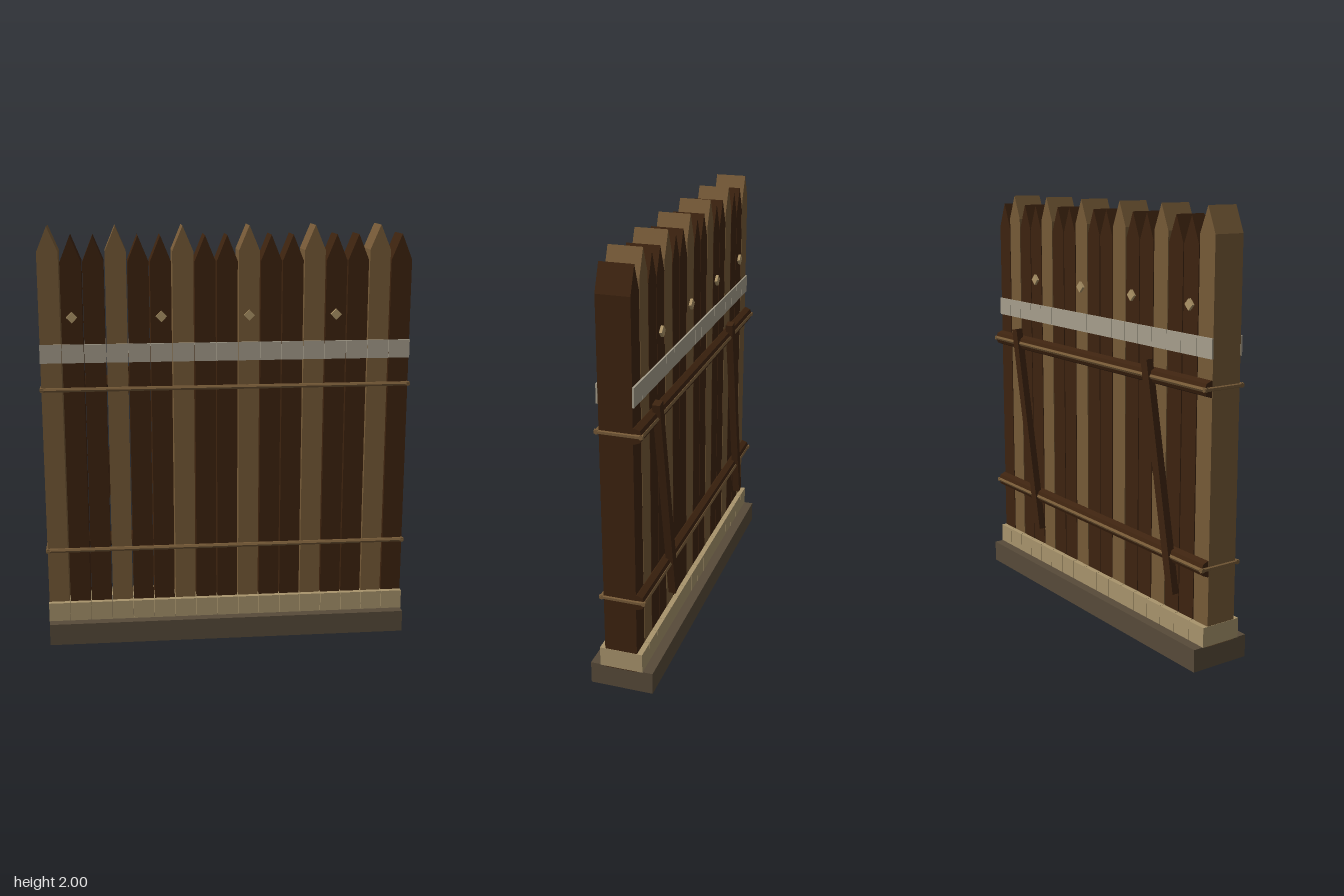
import * as THREE from 'three';

const mat = (name, color) => {
  const m = new THREE.MeshStandardMaterial({ color });
  m.name = name;
  return m;
};

export function createModel() {
  const fence = new THREE.Group();
  fence.name = 'palisade';
  const darkWood = mat('darkWood', 0x3d230f);
  const lightWood = mat('lightWood', 0x765a37);
  const stone = mat('paleStone', 0xa8946c);
  const earth = mat('earth', 0x574a39);
  const chalk = mat('chalkBand', 0xa69e8c);
  const studTan = mat('studTan', 0xae9568);

  const add = (name, geometry, material, x = 0, y = 0, z = 0) => {
    const mesh = new THREE.Mesh(geometry, material);
    mesh.name = name;
    mesh.position.set(x, y, z);
    fence.add(mesh);
    return mesh;
  };
  const box = (w, h, d) => new THREE.BoxGeometry(w, h, d);
  // faceted bar along x or z
  const bar = (r, length, sides, axis) => {
    const g = new THREE.CylinderGeometry(r, r, length, sides).toNonIndexed();
    if (axis === 'x') g.rotateZ(Math.PI / 2);
    else g.rotateX(Math.PI / 2);
    g.computeVertexNormals();
    return g;
  };

  // pointed plank, extruded through its depth
  const plank = (tip, shoulder) => {
    const w = 0.0485;
    const s = new THREE.Shape([
      [-w, 0.1], [w, 0.1], [w, shoulder], [0, tip], [-w, shoulder],
    ].map(([x, y]) => new THREE.Vector2(x, y)));
    return new THREE.ExtrudeGeometry(s, { depth: 0.15, bevelEnabled: false }).translate(0, 0, -0.075);
  };
  const tallPlank = plank(2, 1.885);
  const shortPlank = plank(1.957, 1.838);

  // base
  add('footing', box(1.74, 0.105, 0.294), earth, 0, 0.0525, 0);

  // planks with their base stones and painted band
  const stoneGeo = box(0.1005, 0.092, 0.2);
  const bandGeo = box(0.1005, 0.087, 0.008);
  for (let i = 0; i < 17; i++) {
    const x = (i - 8) * 0.1028;
    const tall = i % 3 === 0;
    add('plank', tall ? tallPlank : shortPlank, tall ? lightWood : darkWood, x);
    add('baseStone', stoneGeo, stone, x, 0.15, 0);
    for (const side of [-1, 1]) add('paintedBand', bandGeo, chalk, x, 1.418, side * 0.079);
  }

  // diamond studs on both faces
  const studGeo = bar(0.026, 0.014, 4, 'z');
  for (const x of [-0.72, -0.308, 0.103, 0.514]) {
    for (const side of [-1, 1]) add('stud', studGeo, studTan, x, 1.587, side * 0.081);
  }

  // back rails, each with a rope looped round the whole wall
  for (const y of [0.461, 1.249]) {
    add('backRail', bar(0.037, 1.74, 8, 'x'), darkWood, 0, y, -0.079);
    add('ropeFront', bar(0.011, 1.754, 6, 'x'), lightWood, 0, y, 0.085);
    add('ropeBack', bar(0.011, 1.754, 6, 'x'), lightWood, 0, y, -0.109);
    for (const side of [-1, 1]) add('ropeEnd', bar(0.011, 0.214, 6, 'z'), lightWood, side * 0.868, y, -0.012);
  }

  // leaning braces on the back
  for (const x of [-0.563, 0.557]) {
    add('brace', box(0.045, 1.05, 0.035), darkWood, x, 0.805, -0.108).rotation.z = -0.197;
  }

  return fence;
}
